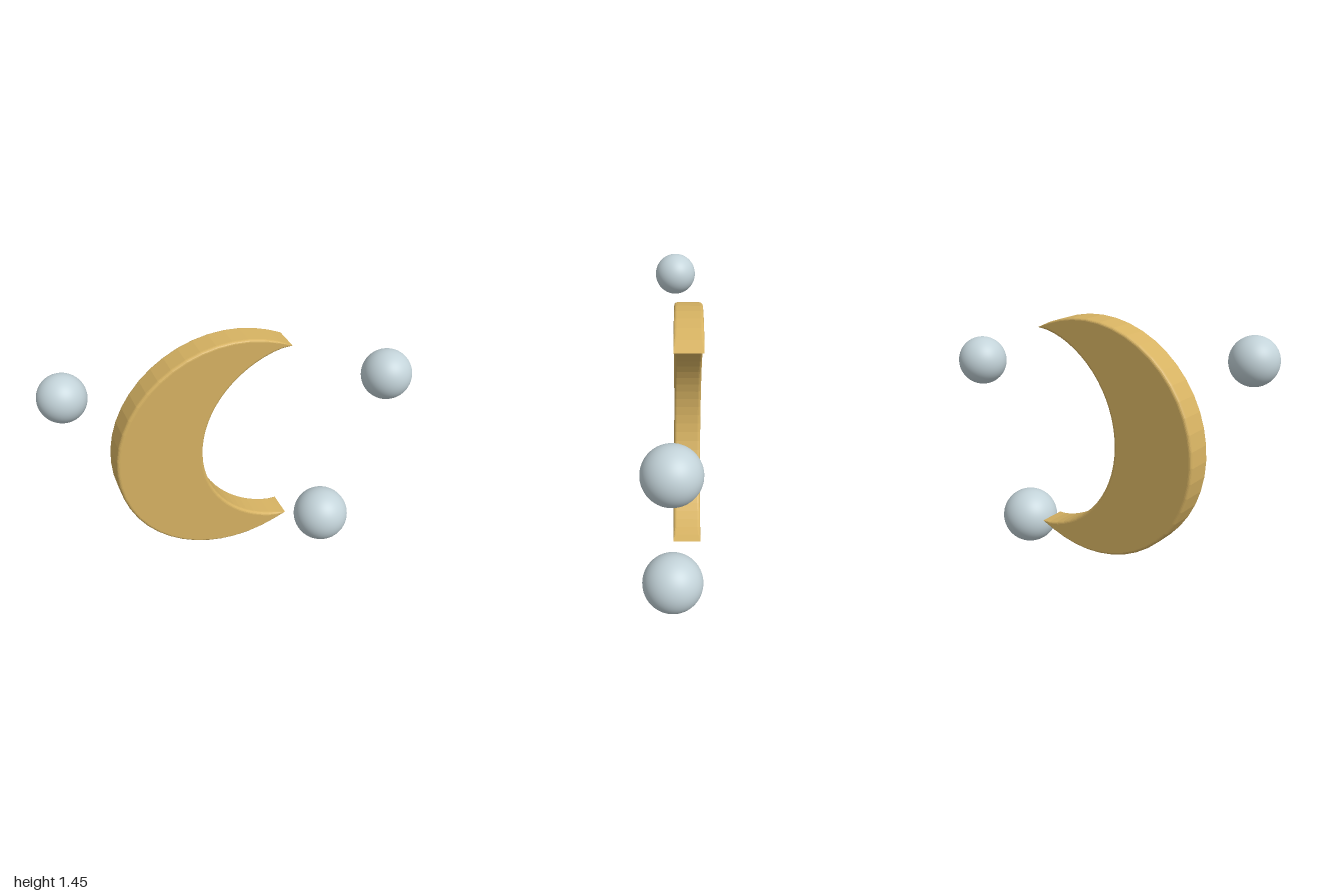
import * as THREE from 'three';

const gold = new THREE.MeshStandardMaterial({ name: 'gold', color: 0xd6b262 });
const silver = new THREE.MeshStandardMaterial({ name: 'paleSilver', color: 0xc3d3d9 });

// Crescent lofted between an outer and an inner arc that meet at both tips
function crescentGeometry() {
  const cy = 0.8, tipX = 0.282, tipY = 0.555, depth = 0.147, segments = 32, steps = 4;
  const arc = (cx) => {
    const r = Math.hypot(tipX - cx, tipY);
    const a = Math.atan2(tipY, tipX - cx);
    return (t) => {
      const angle = a + (2 * Math.PI - 2 * a) * t;
      return new THREE.Vector2(cx + r * Math.cos(angle), cy + r * Math.sin(angle));
    };
  };
  const outer = arc(-0.034), inner = arc(0.349);
  const positions = [], index = [];
  const ring = 4 * (steps + 1);

  for (let i = 0; i <= segments; i++) {
    const o = outer(i / segments), n = inner(i / segments);
    const width = o.distanceTo(n);
    const bevel = Math.min(0.016, width * 0.25);
    const dir = n.clone().sub(o).normalize();
    // Rounded rectangle, its bevel fading out towards the tips
    for (let corner = 0; corner < 4; corner++) {
      const u0 = corner === 0 || corner === 3 ? width - bevel : bevel;
      const z0 = corner < 2 ? -bevel : -depth + bevel;
      for (let k = 0; k <= steps; k++) {
        const a = (corner + k / steps) * Math.PI / 2;
        const u = u0 + bevel * Math.cos(a);
        positions.push(o.x + dir.x * u, o.y + dir.y * u, z0 + bevel * Math.sin(a));
      }
    }
  }
  for (let i = 0; i < segments; i++) {
    for (let j = 0; j < ring; j++) {
      const a = i * ring + j, b = i * ring + (j + 1) % ring;
      index.push(a, b, b + ring, a, b + ring, a + ring);
    }
  }
  const indexed = new THREE.BufferGeometry();
  indexed.setAttribute('position', new THREE.Float32BufferAttribute(positions, 3));
  indexed.setIndex(index);
  // Separate faces keep the curved walls faceted
  const geometry = indexed.toNonIndexed();
  geometry.computeVertexNormals();
  return geometry;
}

export function createModel() {
  const group = new THREE.Group();
  group.name = 'moonAndOrbs';

  const moon = new THREE.Mesh(crescentGeometry(), gold);
  moon.name = 'crescentMoon';
  group.add(moon);

  // Floating orbs around the crescent
  const orbs = [
    ['upperOrb', -0.884, 1.332, 0.116],
    ['sideOrb', 0.859, 1.056, 0.138],
    ['lowerOrb', 0.518, 0.159, 0.159],
  ];
  for (const [name, x, y, r] of orbs) {
    const orb = new THREE.Mesh(new THREE.SphereGeometry(r, 48, 32), silver);
    orb.name = name;
    orb.position.set(x, y, 0);
    group.add(orb);
  }
  return group;
}
